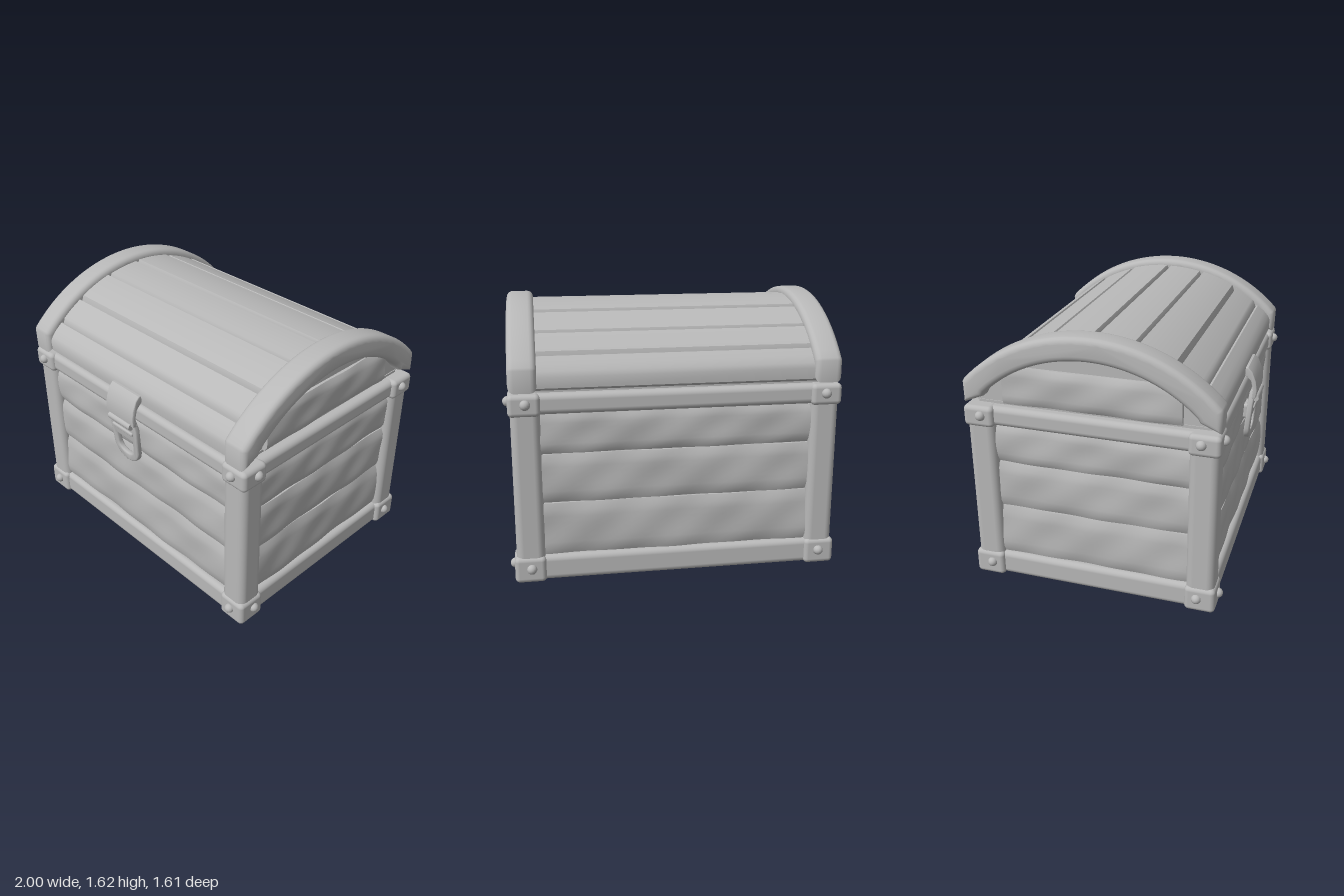
import * as THREE from 'three';
import { toCreasedNormals } from 'three/addons/utils/BufferGeometryUtils.js';
import { RoundedBoxGeometry } from 'three/addons/geometries/RoundedBoxGeometry.js';

const ARC_Y = 0.58; // height of the lid's arc centre
const arcY = (z, r) => ARC_Y + Math.sqrt(Math.max(0, r * r - z * z));

export function createModel() {
  const model = new THREE.Group();
  const chest = new THREE.Group();
  chest.name = 'chest';
  chest.position.z = -0.02;
  model.add(chest);
  const grey = new THREE.MeshStandardMaterial({ color: 0xb8b8b8 });
  grey.name = 'plain grey';

  const add = (name, geo, x = 0, y = 0, z = 0) => {
    const m = new THREE.Mesh(geo, grey);
    m.name = name;
    m.position.set(x, y, z);
    chest.add(m);
    return m;
  };
  const rounded = (name, w, h, d, r, x, y, z) =>
    add(name, new RoundedBoxGeometry(w, h, d, 3, r), x, y, z);

  // Board with worn edges: rounded at the seams, gently uneven along its length
  const board = (len, h, t, seed) => {
    const g = new THREE.BoxGeometry(len, h, t, 24, 8, 1);
    const p = g.attributes.position;
    for (let i = 0; i < p.count; i++) {
      if (p.getZ(i) < 0) continue;
      const x = p.getX(i), v = p.getY(i) / (h / 2);
      const wave = 0.004 * Math.sin(x * 7 + seed * 2.3 + v * 2) + 0.003 * Math.sin(x * 17 + seed - v * 3);
      p.setZ(i, p.getZ(i) + wave - 0.018 * Math.pow(Math.abs(v), 6));
    }
    return toCreasedNormals(g, 0.9);
  };

  // Side profile (given as z, y pairs) extruded across the width
  const profile = (name, pts, x0, x1, bevel = 0) => {
    const shape = new THREE.Shape(pts.map(([z, y]) => new THREE.Vector2(-z, y)));
    const g = new THREE.ExtrudeGeometry(shape, {
      depth: x1 - x0 - 2 * bevel, bevelEnabled: bevel > 0, bevelSize: bevel,
      bevelThickness: bevel, bevelOffset: -bevel, bevelSegments: 4,
    });
    g.rotateY(Math.PI / 2);
    return add(name, toCreasedNormals(g, 0.6), x0 + bevel, 0, 0);
  };
  const arc = (z0, z1, r, n) => Array.from({ length: n + 1 }, (_, i) => {
    const z = z0 + (z1 - z0) * i / n;
    return [z, arcY(z, r)];
  });

  // Body core
  add('bodyCore', new THREE.BoxGeometry(1.78, 1.15, 1.38), 0, 0.585, 0);

  // Horizontal boards on the four walls
  const seams = [0.15, 0.48, 0.78, 1.03];
  for (let i = 0; i < 3; i++) {
    const h = seams[i + 1] - seams[i] - 0.004, y = (seams[i] + seams[i + 1]) / 2;
    for (const s of [1, -1]) {
      add('wallBoard', board(1.66, h, 0.05, i + s), 0, y, s * 0.695).rotation.y = s > 0 ? 0 : Math.PI;
      add('endBoard', board(1.26, h, 0.05, i + 4 + s), s * 0.905, y, 0).rotation.y = s * Math.PI / 2;
    }
  }

  // Rails round the bottom and the rim
  for (const [y, h] of [[0.08, 0.155], [1.082, 0.122]]) {
    for (const s of [1, -1]) {
      rounded('longRail', 1.7, h, 0.13, 0.035, 0, y, s * 0.675);
      rounded('shortRail', 0.13, h, 1.3, 0.035, s * 0.885, y, 0);
    }
  }

  // Corner posts, with studded brackets at both ends
  const stud = new THREE.SphereGeometry(0.03, 14, 10);
  for (const sx of [1, -1]) for (const sz of [1, -1]) {
    rounded('cornerPost', 0.17, 1.1, 0.17, 0.045, sx * 0.877, 0.57, sz * 0.663);
    for (const [y, h] of [[0.08, 0.16], [1.08, 0.13]]) {
      rounded('cornerBracket', 0.185, h, 0.185, 0.028, sx * 0.882, y, sz * 0.667);
      add('stud', stud, sx * 0.875, y + 0.01, sz * 0.76);
      add('stud', stud, sx * 0.972, y + 0.01, sz * 0.65);
    }
  }

  // Domed lid: solid core, end boards and curved planks
  profile('lidCore', [[0.7, 1.155], ...arc(0.7, -0.7, 0.965, 24), [-0.7, 1.155]], -0.885, 0.885);
  for (const s of [1, -1]) {
    add('lidEndBoard', board(1.06, 0.23, 0.04, s + 7), s * 0.897, 1.27, 0).rotation.y = s * Math.PI / 2;
  }
  const lidSeams = [0.63, 0.47, 0.23, -0.01, -0.28, -0.49, -0.64];
  for (let i = 0; i < 6; i++) {
    const a = lidSeams[i] - 0.003, b = lidSeams[i + 1] + 0.003;
    const e = 0.012;
    profile('lidPlank', [
      ...arc(a, b, 0.94, 6).reverse(),
      [a, arcY(a, 0.98)], ...arc(a - e, b + e, 1.0 + (i % 2) * 0.004, 8), [b, arcY(b, 0.98)],
    ], -0.83, 0.83);
  }
  for (const s of [1, -1]) {
    const pts = [
      [0.66, 1.16], [0.715, 1.16], [0.732, 1.175], [0.735, 1.24], [0.722, 1.27],
      [0.69, 1.305], [0.645, 1.342], [0.633, 1.34], [0.625, 1.3],
    ].map(([z, y]) => [s * z, y]);
    profile(s > 0 ? 'frontLidPlank' : 'backLidPlank', pts, -0.83, 0.83);
  }

  // Rounded hoops over both ends of the lid
  for (const s of [1, -1]) {
    const pts = [
      [0.755, 1.155], [0.758, 1.285], ...arc(0.75, -0.75, 1.04, 40), [-0.758, 1.285],
      [-0.755, 1.155], [-0.635, 1.205], ...arc(-0.62, 0.62, 0.9, 32), [0.635, 1.205],
    ];
    profile('lidHoop', pts, s > 0 ? 0.805 : -0.968, s > 0 ? 0.968 : -0.805, 0.035);
  }

  // Latch: bent strap, hinge pin and U-shaped hasp
  const latchX = -0.022;
  profile('latchStrap', [
    [0.73, 1.235], [0.75, 1.235], [0.775, 1.21], [0.8, 1.15], [0.81, 1.09], [0.805, 1.04],
    [0.78, 1.035], [0.785, 1.09], [0.77, 1.15], [0.73, 1.19],
  ], latchX - 0.127, latchX + 0.127, 0.006);
  const pin = new THREE.CylinderGeometry(0.022, 0.022, 0.2, 16);
  pin.rotateZ(Math.PI / 2);
  add('hingePin', pin, latchX, 1.03, 0.8);

  const hasp = new THREE.Shape();
  hasp.moveTo(-0.1, 1.07);
  hasp.lineTo(-0.125, 1.0);
  hasp.lineTo(-0.115, 0.82);
  hasp.bezierCurveTo(-0.1, 0.69, 0.1, 0.69, 0.115, 0.82);
  hasp.lineTo(0.125, 1.0);
  hasp.lineTo(0.1, 1.07);
  const slot = new THREE.Path();
  slot.moveTo(-0.075, 0.9);
  slot.lineTo(0.075, 0.9);
  slot.lineTo(0.07, 0.83);
  slot.bezierCurveTo(0.06, 0.76, -0.06, 0.76, -0.07, 0.83);
  hasp.holes.push(slot);
  const haspGeo = new THREE.ExtrudeGeometry(hasp, {
    depth: 0.016, bevelEnabled: true, bevelSize: 0.01, bevelThickness: 0.01,
    bevelOffset: -0.01, bevelSegments: 3, curveSegments: 16,
  });
  // Lean the hasp in towards the wall at its lower end
  const hp = haspGeo.attributes.position;
  for (let i = 0; i < hp.count; i++) hp.setZ(i, hp.getZ(i) + 0.742 + 0.03 * (hp.getY(i) - 0.72) / 0.35);
  add('hasp', toCreasedNormals(haspGeo, 0.7), latchX);
  // Staple showing through the hasp's slot
  rounded('staple', 0.11, 0.1, 0.05, 0.02, latchX, 0.91, 0.735);
  rounded('haspRidge', 0.19, 0.025, 0.03, 0.01, latchX, 0.965, 0.785);

  return model;
}
